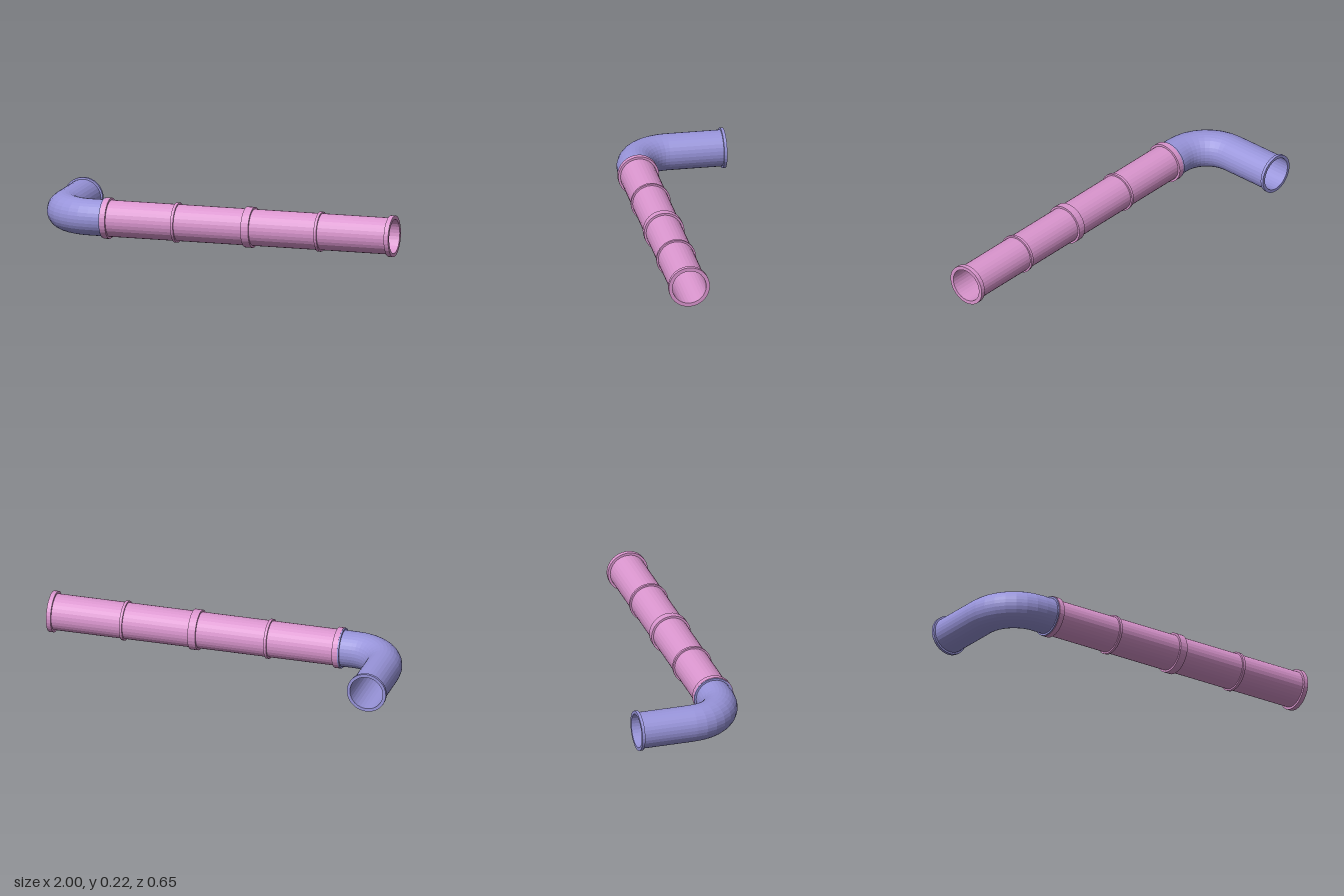
import * as THREE from 'three';

const SIDES = 32, R = 0.098, INNER = 0.091, Y = 0.112;

// Skin a closed pipe wall: each station is [x, z, heading, radius] in the floor plane
function pipeWall(stations) {
  const pos = [], index = [];
  for (const [x, z, a, r] of stations) {
    for (let j = 0; j < SIDES; j++) {
      const t = (j / SIDES) * Math.PI * 2;
      const side = r * Math.cos(t);
      pos.push(x - Math.sin(a) * side, r * Math.sin(t), z + Math.cos(a) * side);
    }
  }
  const n = stations.length;
  for (let i = 0; i < n; i++) {
    for (let j = 0; j < SIDES; j++) {
      const k = (j + 1) % SIDES, m = (i + 1) % n;
      const a = i * SIDES + j, b = i * SIDES + k, c = m * SIDES + j, d = m * SIDES + k;
      index.push(a, b, c, b, d, c);
    }
  }
  const geo = new THREE.BufferGeometry();
  geo.setAttribute('position', new THREE.Float32BufferAttribute(pos, 3));
  geo.setIndex(index);
  geo.computeVertexNormals();
  return geo;
}

function addPart(group, name, geo, color) {
  const material = new THREE.MeshStandardMaterial({ color, flatShading: true, side: THREE.DoubleSide });
  const mesh = new THREE.Mesh(geo, material);
  mesh.name = name;
  mesh.position.y = Y;
  group.add(mesh);
  return mesh;
}

export function createModel() {
  const model = new THREE.Group();
  model.name = 'pipeAssembly';

  // Straight pipe, one wall with raised collars, running slightly off the x axis
  const x0 = -0.615, x1 = 1, slope = 0.015;
  const zAt = x => 0.191 + (x + 0.6) * slope;
  const at = (x, r) => [x, zAt(x), slope, r];
  const collars = [
    [x0, -0.585, 0.11], [-0.22, -0.205, 0.107], [0.173, 0.216, 0.109],
    [0.581, 0.596, 0.107], [0.975, x1, 0.111],
  ];
  const straight = [];
  for (const [a, b, r] of collars) {
    straight.push(at(a, R), at(a, r), at(b, r), at(b, R));
  }
  straight.push(at(x1, INNER), at(x0, INNER));
  addPart(model, 'straightPipe', pipeWall(straight), 0xdb96cf);

  // Elbow pipe: straight leg, quarter bend, short leg into the straight pipe
  const cx = -0.687, cz = -0.018, bend = 0.207, steps = 8;
  const legX = cx - bend, endZ = cz + bend;
  const path = [[legX, -0.31, Math.PI / 2]];
  for (let i = 0; i <= steps; i++) {
    const t = (i / steps) * Math.PI / 2;
    path.push([cx - bend * Math.cos(t), cz + bend * Math.sin(t), Math.PI / 2 - t]);
  }
  path.push([-0.622, endZ, 0]);
  const rim = 0.108, back = -0.327, front = -0.6;
  const elbow = [
    [legX, back, Math.PI / 2, rim], [legX, -0.311, Math.PI / 2, rim],
    ...path.map(p => [...p, R]),
    [-0.622, endZ, 0, rim], [front, endZ, 0, rim], [front, endZ, 0, INNER],
    ...path.slice().reverse().map(p => [...p, INNER]),
    [legX, back, Math.PI / 2, INNER],
  ];
  addPart(model, 'elbowPipe', pipeWall(elbow), 0x9894da);

  return model;
}
